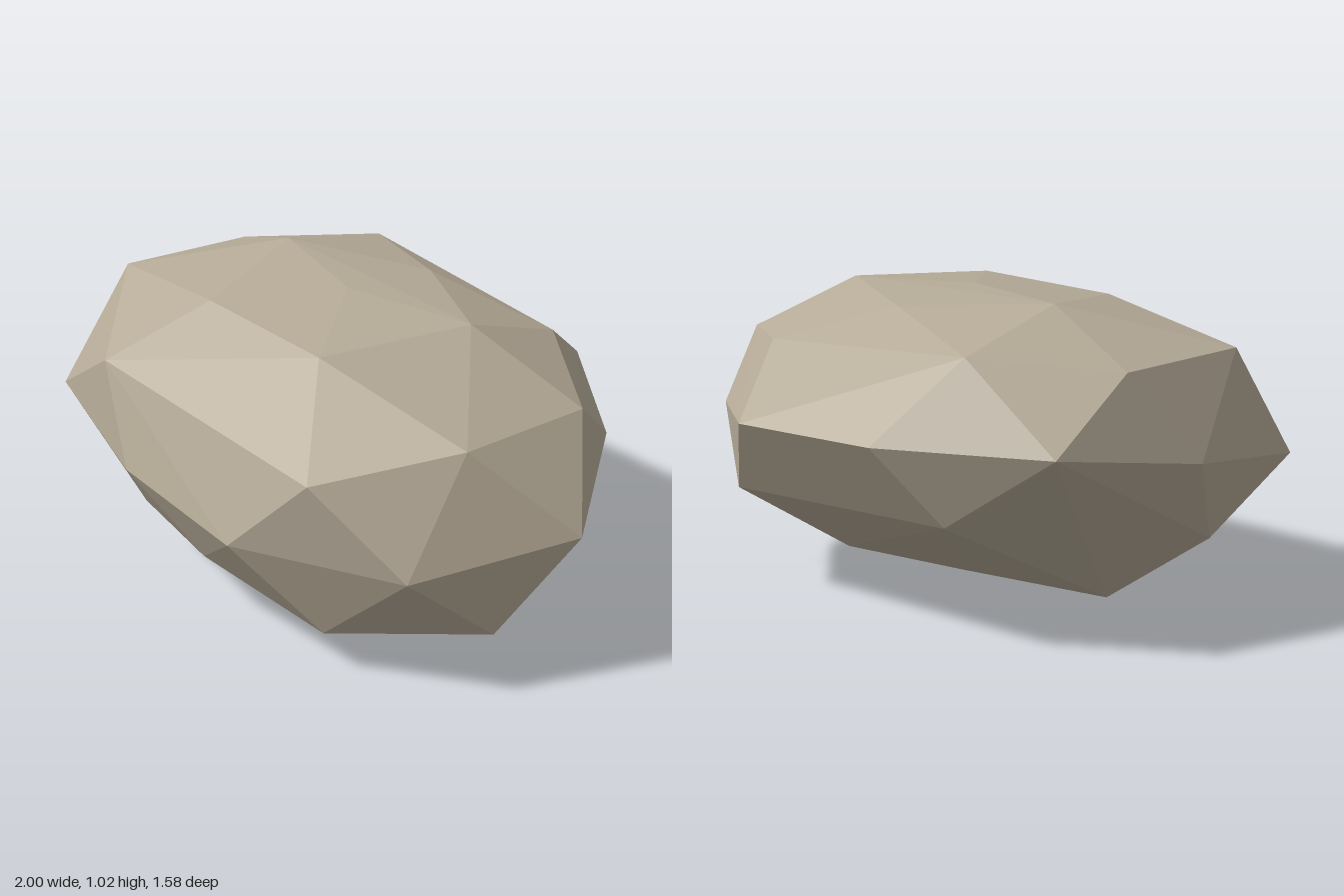
import * as THREE from 'three';
import { ConvexGeometry } from 'three/addons/geometries/ConvexGeometry.js';

const stone = new THREE.MeshStandardMaterial({ color: 0xb5aa97 });
stone.name = 'warm grey stone';

// Faceted solid wrapped around a few corner points
function facetedSolid(name, corners) {
  const points = corners.map(([x, y, z]) => new THREE.Vector3(x, y, z));
  const mesh = new THREE.Mesh(new ConvexGeometry(points), stone);
  mesh.name = name;
  return mesh;
}

export function createModel() {
  const group = new THREE.Group();
  group.name = 'rock';

  // Crown: the nearly flat top
  const crown = [
    [-0.42, 1.02, -0.16], [0, 1.015, 0.05], [0.46, 1, 0.02], [0.08, 0.985, -0.29],
    [-0.35, 0.97, 0.32], [0.21, 0.975, 0.46], [-0.36, 0.92, -0.585],
  ];

  // Shoulder: upper ring, from the front round by the left side
  const shoulder = [
    [0.39, 0.71, 0.745], [0.72, 0.79, 0.4], [0.84, 0.8, -0.04], [0.5, 0.85, -0.39],
    [-0.78, 0.88, -0.35], [-0.915, 0.89, 0.11], [-0.64, 0.75, 0.52],
  ];

  // Waist: widest ring
  const waist = [
    [0.11, 0.437, 0.79], [0.69, 0.44, 0.65], [1, 0.505, 0.19], [0.77, 0.59, -0.31],
    [0.41, 0.64, -0.695], [-0.15, 0.66, -0.79], [-0.7, 0.66, -0.63],
    [-0.955, 0.59, -0.19], [-1, 0.51, 0.36], [-0.44, 0.465, 0.65],
  ];

  // Underside: lower ring and the base it rests on
  const underside = [
    [0.355, 0.14, 0.63], [0.82, 0.19, 0.38], [0.76, 0.265, -0.1], [0.58, 0.36, -0.49],
    [-0.33, 0.405, -0.655], [-0.89, 0.295, 0.01], [-0.59, 0.2, 0.41], [-0.16, 0.22, 0.6],
    [0.44, 0, 0.16], [-0.13, 0.01, 0.36], [-0.55, 0.05, -0.03],
    [0.27, 0.16, -0.305], [-0.03, 0.065, -0.07], [-0.22, 0.217, -0.37],
  ];

  group.add(facetedSolid('boulder', [...crown, ...shoulder, ...waist, ...underside]));

  // Tiny splinter on the lower left side
  group.add(facetedSolid('splinter', [
    [0.71, 0.36, -0.23], [0.72, 0.33, -0.3], [0.7, 0.31, -0.3], [0.67, 0.265, -0.23],
  ]));

  return group;
}
